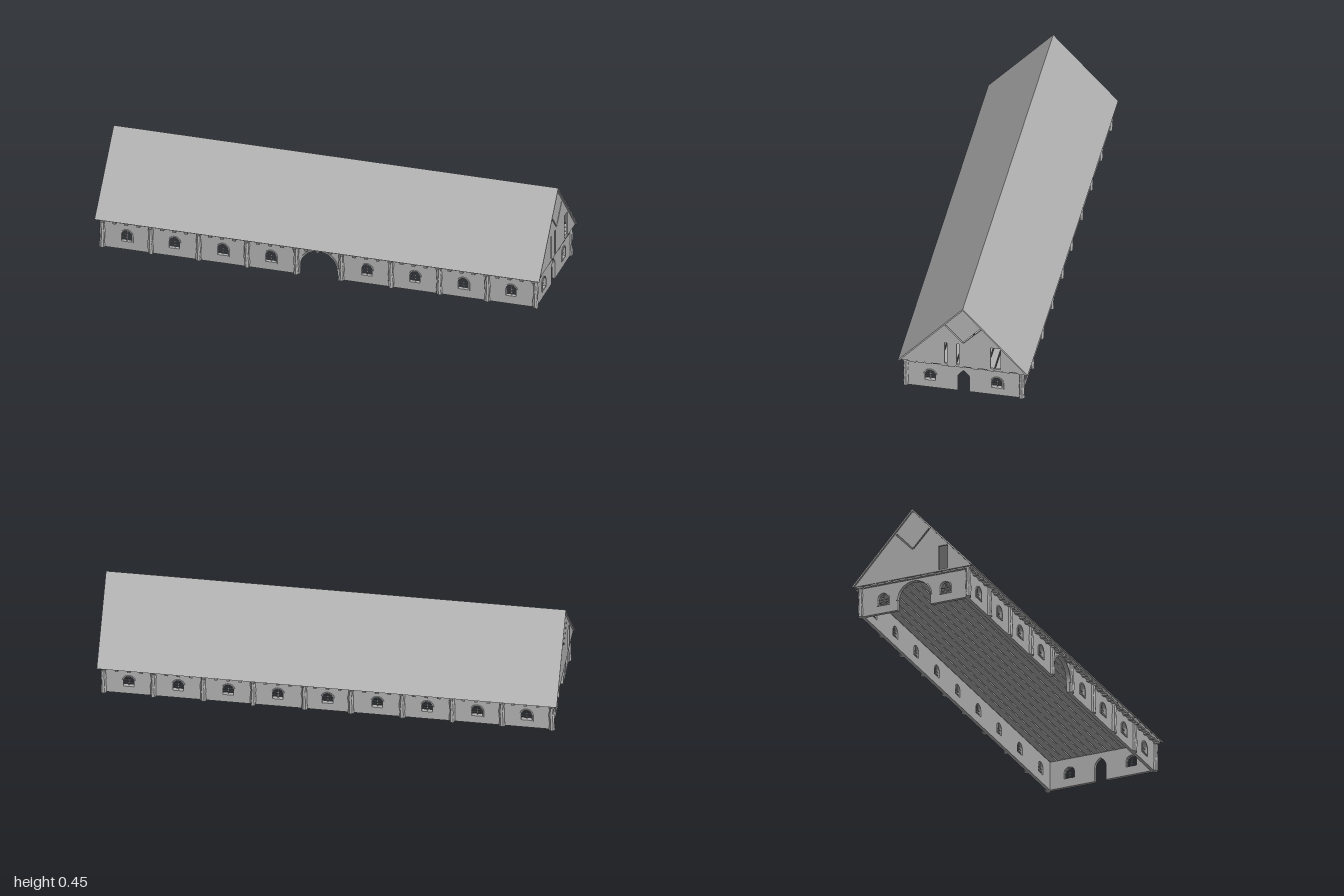
import * as THREE from 'three';

const stone = new THREE.MeshStandardMaterial({ color: 0xb2b2b2 });
stone.name = 'plain grey';

const WALL_H = 0.131, T = 0.015, HX = 0.968, HZ = 0.25;
const EAVE = 0.2825, ROOF_LEN = 1.98;

let seed = 7;
const rnd = () => (seed = (seed * 16807) % 2147483647) / 2147483647 - 0.5;

function add(parent, geometry, name, x = 0, y = 0, z = 0) {
  const m = new THREE.Mesh(geometry, stone);
  m.name = name;
  m.position.set(x, y, z);
  parent.add(m);
  return m;
}

const extrude = (shape, depth, curveSegments = 8) =>
  new THREE.ExtrudeGeometry(shape, { depth, bevelEnabled: false, curveSegments });

// Round-headed outline: u centre, bottom, half width, top
function archPath(Type, u, bottom, r, top) {
  const p = new Type();
  p.moveTo(u - r, bottom);
  p.lineTo(u + r, bottom);
  p.lineTo(u + r, top - r);
  p.absarc(u, top - r, r, 0, Math.PI, false);
  p.closePath();
  return p;
}

const polygon = (Type, pts) => new Type(pts.map(([x, y]) => new THREE.Vector2(x, y)));
const rect = (a, b, c, d) => polygon(THREE.Path, [[a, c], [b, c], [b, d], [a, d]]);

// Wall in its own plane, outer face at z = 0, with an optional doorway cut from the bottom
function wall(half, windows, door) {
  const s = new THREE.Shape();
  s.moveTo(-half, 0);
  if (door) {
    s.lineTo(-door.r, 0);
    s.lineTo(-door.r, door.spring);
    if (door.pointed) {
      s.quadraticCurveTo(-door.r, door.top - 0.02, 0, door.top);
      s.quadraticCurveTo(door.r, door.top - 0.02, door.r, door.spring);
    } else s.absarc(0, door.spring, door.r, Math.PI, 0, true);
    s.lineTo(door.r, 0);
  }
  s.lineTo(half, 0);
  s.lineTo(half, WALL_H);
  s.lineTo(-half, WALL_H);
  s.closePath();
  for (const u of windows) s.holes.push(archPath(THREE.Path, u, 0.04, 0.024, 0.092));

  const g = new THREE.Group();
  add(g, extrude(s, T), 'wallPanel', 0, 0, -T);

  // Window surrounds with thin bars
  for (const u of windows) {
    const ring = archPath(THREE.Shape, 0, 0.035, 0.029, 0.096);
    ring.holes.push(archPath(THREE.Path, 0, 0.04, 0.023, 0.091));
    add(g, extrude(ring, 0.009), 'windowFrame', u, 0, -0.005);
    add(g, new THREE.BoxGeometry(0.004, 0.052, 0.004), 'windowMullion', u, 0.066, -0.008);
    for (const y of [0.053, 0.066])
      add(g, new THREE.BoxGeometry(0.047, 0.0025, 0.003), 'windowBar', u, y, -0.008);
  }

  // Timber arch around a wide doorway
  if (door && !door.pointed) {
    const a = new THREE.Shape();
    a.absarc(0, 0, door.r + 0.005, 0, Math.PI, false);
    a.absarc(0, 0, door.r - 0.001, Math.PI, 0, true);
    add(g, extrude(a, 0.01, 12), 'doorArch', 0, door.spring, -0.005);
  }
  return g;
}

// Roughly hewn post with a wobbling outline
function postGeometry() {
  let g = new THREE.CylinderGeometry(0.011, 0.0125, WALL_H, 7, 5);
  const p = g.attributes.position, a = rnd() * 6;
  for (let i = 0; i < p.count; i++) {
    const x = p.getX(i), y = p.getY(i), z = p.getZ(i);
    const k = 1 + 0.16 * Math.sin(y * 90 + Math.atan2(z, x) * 2 + a);
    p.setXYZ(i, x * k + 0.0012 * Math.sin(y * 60 + a), y, z * k);
  }
  g = g.toNonIndexed();
  g.computeVertexNormals();
  return g;
}

// Gable triangle with slots, a tall opening and a V of narrow cuts
function gable(full) {
  const s = polygon(THREE.Shape, [[-0.274, 0.139], [0.274, 0.139], [0, 0.443]]);
  s.holes.push(rect(0.12, 0.163, 0.147, 0.257));
  if (full) s.holes.push(rect(-0.08, -0.07, 0.147, 0.257), rect(-0.028, -0.018, 0.147, 0.257));
  for (const k of [-1, 1])
    s.holes.push(polygon(THREE.Path,
      [[0.079 * k, 0.346], [0.074 * k, 0.351], [0.002 * k, 0.272], [0.002 * k, 0.264]]));
  return extrude(s, 0.008);
}

export function createModel() {
  const model = new THREE.Group();
  model.name = 'longBarn';
  const barn = new THREE.Group();
  barn.name = 'barn';
  barn.rotation.y = -0.038;
  model.add(barn);

  // Long walls
  const bays = [-0.856, -0.643, -0.428, -0.214, 0, 0.214, 0.428, 0.643, 0.856];
  const front = wall(HX, bays.filter(u => u !== 0), { r: 0.083, spring: 0.042 });
  front.name = 'frontWall';
  front.position.z = HZ;
  const back = wall(HX, bays);
  back.name = 'backWall';
  back.rotation.y = Math.PI;
  back.position.z = -HZ;

  // End walls and gables
  const right = wall(HZ, [-0.145, 0.145], { r: 0.026, spring: 0.07, top: 0.108, pointed: true });
  right.name = 'leftEndWall';
  const left = wall(HZ, [-0.145, 0.145], { r: 0.077, spring: 0.045 });
  left.name = 'rightEndWall';
  [[right, 1], [left, -1]].forEach(([w, k]) => {
    w.rotation.y = k * Math.PI / 2;
    w.position.x = k * HX;
    add(w, gable(k > 0), 'gable', 0, 0, 0.006);
  });
  barn.add(front, back, right, left);

  // Posts between the bays and at the corners
  const posts = [0.1, 0.321, 0.536, 0.75, 0.965];
  for (const z of [HZ + 0.002, -HZ - 0.002])
    for (const x of posts)
      for (const k of [-1, 1]) add(barn, postGeometry(), 'post', x * k, WALL_H / 2, z);

  // Ceiling planks along the length
  const n = 16, pitch = 0.54 / n;
  for (let i = 0; i < n; i++)
    add(barn, new THREE.BoxGeometry(1.955 + rnd() * 0.012, 0.007, pitch - 0.005), 'ceilingPlank',
      0, 0.1345 + rnd() * 0.001, -0.27 + (i + 0.5) * pitch);

  // Joist ends under the eaves
  for (let i = 0; i < 37; i++)
    for (const k of [-1, 1])
      add(barn, new THREE.BoxGeometry(0.014, 0.007, 0.026), 'joistEnd', -0.96 + i * 0.05333, 0.128, k * 0.259);

  // Roof
  const roof = polygon(THREE.Shape, [[-EAVE, 0.14], [-EAVE + 0.007, 0.138], [0, 0.443],
    [EAVE - 0.007, 0.138], [EAVE, 0.14], [0, 0.452]]);
  const r = add(barn, extrude(roof, ROOF_LEN), 'roof', -ROOF_LEN / 2, 0, 0);
  r.rotation.y = Math.PI / 2;

  return model;
}
